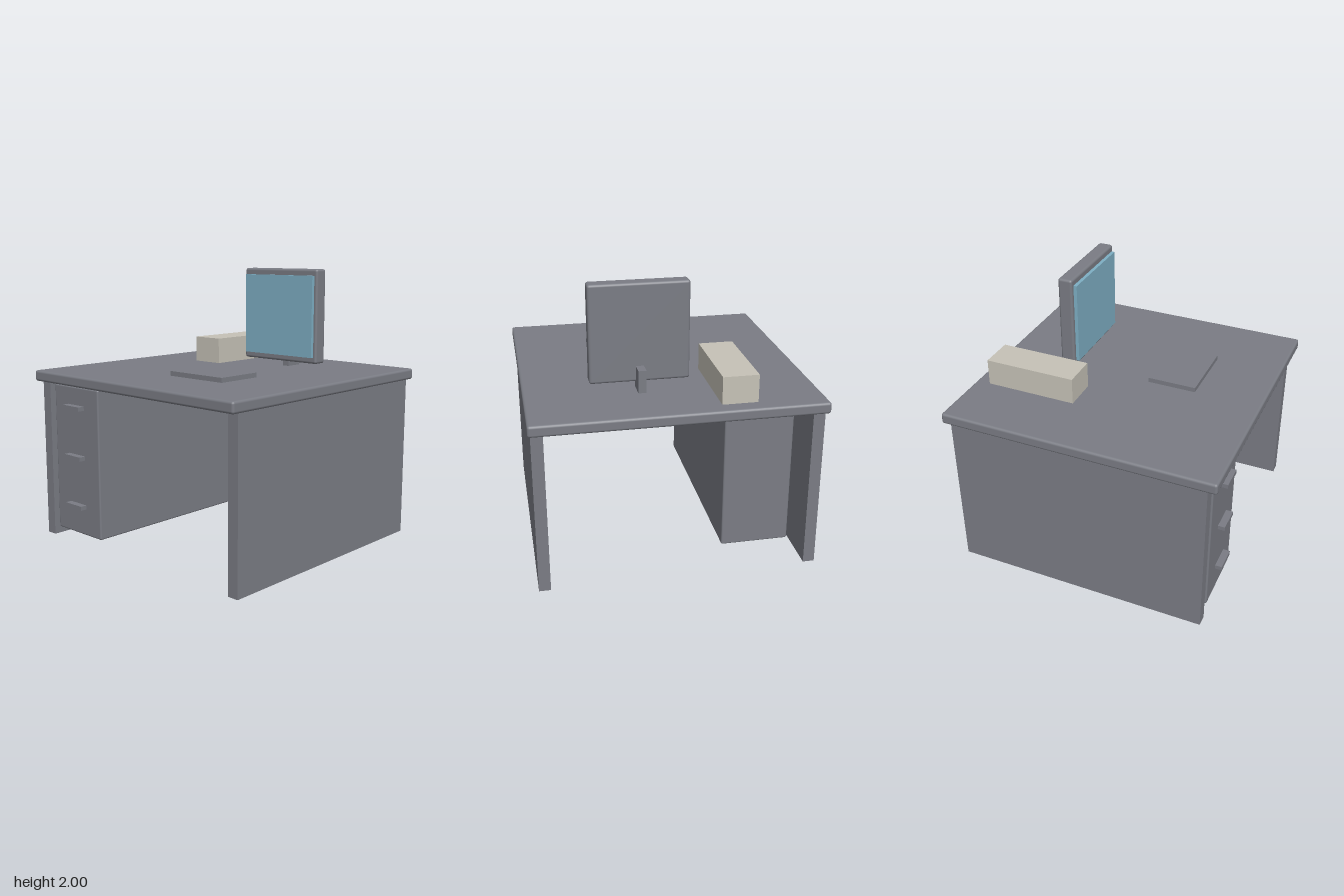
import * as THREE from 'three';
import { RoundedBoxGeometry } from 'three/addons/geometries/RoundedBoxGeometry.js';

export function createModel() {
  const group = new THREE.Group();
  const material = (name, color) => {
    const m = new THREE.MeshStandardMaterial({ color });
    m.name = name;
    return m;
  };
  const grey = material('slateGrey', 0x7a7c84);
  const blue = material('screenBlue', 0x7eafc4);
  const beige = material('boxBeige', 0xc6c2b7);

  // Box given by its [min, max] on each axis; a radius rounds its edges
  const addBox = (name, mat, x, y, z, radius = 0) => {
    const size = [x, y, z].map(([a, b]) => b - a);
    const geometry = radius
      ? new RoundedBoxGeometry(...size, 2, radius)
      : new THREE.BoxGeometry(...size);
    const mesh = new THREE.Mesh(geometry, mat);
    mesh.name = name;
    mesh.position.set(...[x, y, z].map(([a, b]) => (a + b) / 2));
    group.add(mesh);
  };

  // Desk
  addBox('tabletop', grey, [-1, 1], [1.18, 1.26], [-1, 1], 0.018);
  addBox('rightSidePanel', grey, [-0.985, -0.903], [0, 1.19], [-0.935, 0.935]);
  addBox('leftSidePanel', grey, [0.899, 0.981], [0, 1.19], [-0.935, 0.935]);

  // Drawer cabinet with three handles
  addBox('drawerCabinet', grey, [-0.85, -0.355], [0.072, 1.168], [-0.715, 0.932], 0.012);
  for (const y of [0.288, 0.654, 1.02]) {
    addBox('drawerHandle', grey, [-0.692, -0.513], [y - 0.015, y + 0.015], [0.92, 0.982]);
  }

  // Monitor
  addBox('monitorCase', grey, [-0.15, 0.545], [1.307, 2], [-0.499, -0.391], 0.018);
  addBox('screen', blue, [-0.122, 0.52], [1.354, 1.953], [-0.4, -0.366]);
  addBox('monitorStand', grey, [0.17, 0.226], [1.255, 1.42], [-0.599, -0.468]);

  // Desk items
  addBox('keyboard', grey, [-0.053, 0.446], [1.255, 1.294], [0.155, 0.511]);
  addBox('paperBox', beige, [-0.526, -0.279], [1.255, 1.453], [-0.892, -0.223]);

  return group;
}
